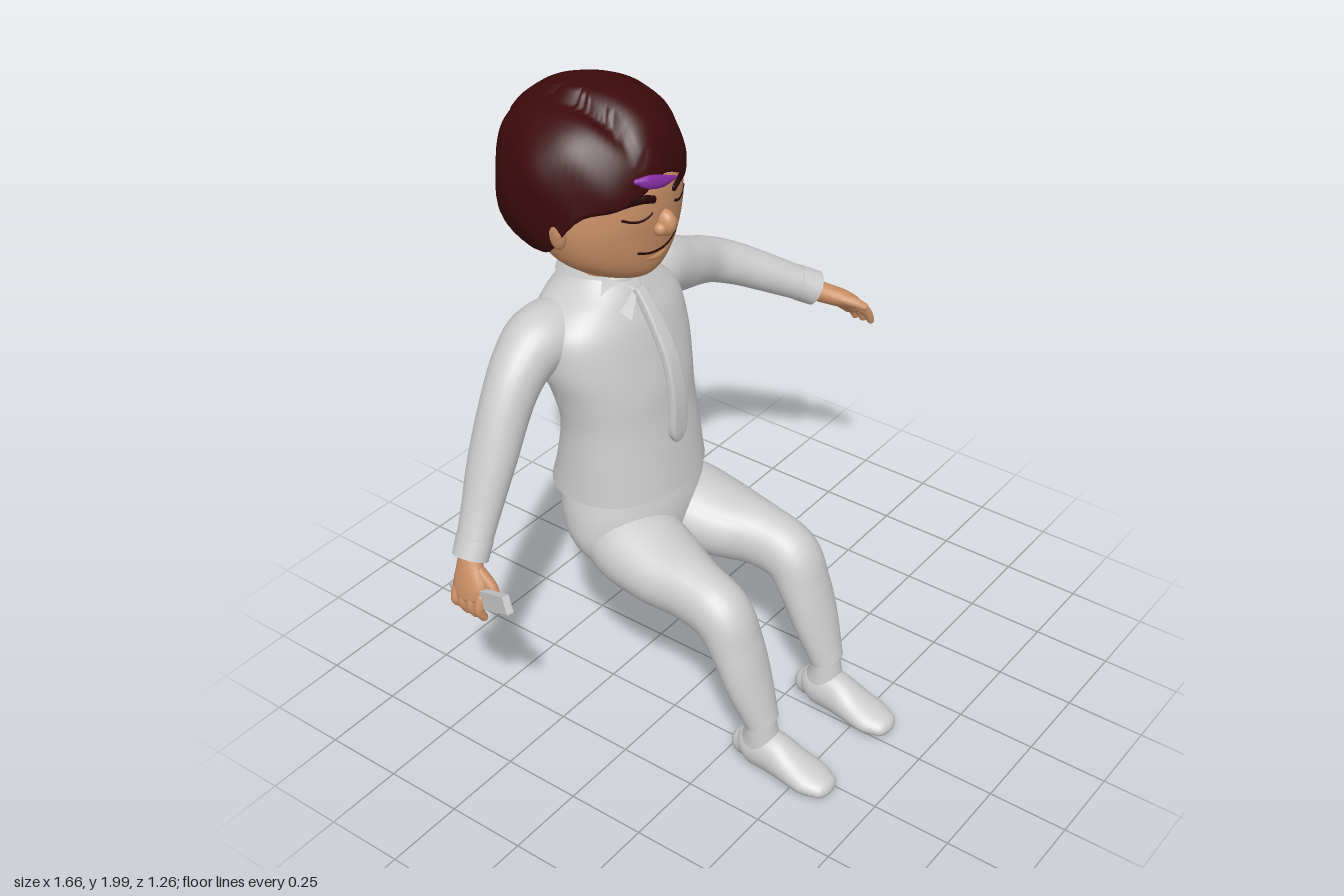
import * as THREE from 'three';

const CX = -0.13; // the body's own middle line
const V = (x, y, z) => new THREE.Vector3(x, y, z);
const mat = (color) => new THREE.MeshStandardMaterial({ color });
const grey = mat(0xcccccc), skin = mat(0xcb9066), hairMat = mat(0x3c0a0c);
const dark = mat(0x260606), purple = mat(0x8a2fa8);
const sheet = new THREE.MeshStandardMaterial({ color: 0xcccccc, side: THREE.DoubleSide });

// Catmull-Rom interpolation of rows of numbers, t from 0 to 1
function mix(rows, t) {
  const n = rows.length - 1, f = Math.min(t * n, n - 1e-6), i = Math.floor(f), s = f - i;
  const at = (k) => rows[Math.max(0, Math.min(n, k))];
  return rows[i].map((b, c) => {
    const a = at(i - 1)[c], d = at(i + 1)[c], e = at(i + 2)[c];
    return b + 0.5 * s * (d - a + s * (2 * a - 5 * b + 4 * d - e + s * (3 * (b - d) + e - a)));
  });
}

// Skin over closed rings, with flat end caps
function loft(rings) {
  const n = rings[0].length, pos = [], idx = [];
  rings.forEach((r) => r.forEach((p) => pos.push(p.x, p.y, p.z)));
  for (let i = 0; i < rings.length - 1; i++) for (let j = 0; j < n; j++) {
    const a = i * n + j, b = i * n + (j + 1) % n;
    idx.push(a, b, b + n, a, b + n, a + n);
  }
  [rings[0], rings[rings.length - 1]].forEach((r, end) => {
    const base = pos.length / 3, c = V(0, 0, 0);
    r.forEach((p) => { pos.push(p.x, p.y, p.z); c.addScaledVector(p, 1 / n); });
    pos.push(c.x, c.y, c.z);
    for (let j = 0; j < n; j++) {
      const a = base + j, b = base + (j + 1) % n;
      idx.push(base + n, end ? a : b, end ? b : a);
    }
  });
  const g = new THREE.BufferGeometry();
  g.setAttribute('position', new THREE.Float32BufferAttribute(pos, 3));
  g.setIndex(idx);
  g.computeVertexNormals();
  return g;
}

// Tube along rows [x, y, z, radiusU, radiusV]; U lies along ref
function sweep(rows, { ref = V(1, 0, 0), tangent, round = 0, steps = 32, sides = 28, pow = 1 } = {}) {
  const rings = [], bend = (k) => Math.sign(k) * Math.abs(k) ** pow;
  const ring = (t, scale, push) => {
    const [x, y, z, ru, rv] = mix(rows, t);
    const p = (q) => V(...mix(rows, Math.max(0, Math.min(1, q))).slice(0, 3));
    const dir = tangent ? tangent.clone() : p(t + 0.01).sub(p(t - 0.01)).normalize();
    const u = ref.clone().addScaledVector(dir, -ref.dot(dir)).normalize(), v = dir.clone().cross(u);
    const c = V(x, y, z).addScaledVector(dir, push * Math.min(ru, rv));
    rings.push(Array.from({ length: sides }, (_, j) => {
      const a = (j / sides) * Math.PI * 2;
      return c.clone().addScaledVector(u, bend(Math.cos(a)) * ru * scale)
        .addScaledVector(v, bend(Math.sin(a)) * rv * scale);
    }));
  };
  const ends = [1.5, 1.2, 0.9, 0.6, 0.3];
  if (round) ends.forEach((a) => ring(0, Math.cos(a), -Math.sin(a)));
  for (let i = 0; i <= steps; i++) ring(i / steps, 1, 0);
  if (round) ends.reverse().forEach((a) => ring(1, Math.cos(a), Math.sin(a)));
  return loft(rings);
}

// Upright body from rows [y, halfWidth, zFront, zBack]
const stack = (rows, opt) => sweep(
  rows.map(([y, w, f, b]) => [CX, y, (f + b) / 2, w, (f - b) / 2]),
  { tangent: V(0, 1, 0), steps: 40, sides: 48, ...opt });

export function createModel() {
  const root = new THREE.Group();
  const add = (name, geo, m = grey, parent = root) => {
    const mesh = new THREE.Mesh(geo, m);
    mesh.name = name;
    parent.add(mesh);
    return mesh;
  };
  const group = (name) => { const g = new THREE.Group(); g.name = name; root.add(g); return g; };
  const ray = new THREE.Raycaster();
  const frontZ = (mesh, x, y) => {
    ray.set(V(x, y, 2), V(0, 0, -1));
    const hit = ray.intersectObject(mesh)[0];
    return hit ? hit.point.z : -0.2;
  };

  // Shirt and hips
  add('shirt', stack([
    [0.77, 0.255, -0.05, -0.46], [0.88, 0.245, -0.068, -0.43], [1.0, 0.237, -0.088, -0.415],
    [1.1, 0.248, -0.1, -0.44], [1.2, 0.27, -0.125, -0.475], [1.3, 0.265, -0.155, -0.488],
    [1.36, 0.215, -0.185, -0.483], [1.405, 0.14, -0.21, -0.465], [1.44, 0.1, -0.24, -0.44]], { pow: 0.92 }));
  add('hips', stack([
    [0.475, 0.1, -0.12, -0.2], [0.5, 0.17, -0.09, -0.26], [0.55, 0.235, -0.07, -0.335], [0.62, 0.265, -0.055, -0.4],
    [0.7, 0.262, -0.055, -0.427], [0.79, 0.24, -0.075, -0.422]]));

  // Legs and shoes, mirrored about the middle line
  for (const [side, s] of [['left', 1], ['right', -1]]) {
    const at = (rows) => rows.map(([d, ...r]) => [CX + s * d, ...r]);
    add(side + 'Leg', sweep(at([
      [0.11, 0.635, -0.27, 0.11, 0.11], [0.128, 0.6, -0.14, 0.148, 0.125], [0.152, 0.575, 0, 0.135, 0.11],
      [0.17, 0.56, 0.12, 0.1, 0.1], [0.178, 0.525, 0.225, 0.092, 0.092], [0.178, 0.43, 0.282, 0.091, 0.072],
      [0.178, 0.32, 0.325, 0.085, 0.06], [0.175, 0.185, 0.375, 0.058, 0.047]]), { steps: 48 }));
    add(side + 'Ankle', sweep(at([[0.174, 0.22, 0.365, 0.05, 0.04], [0.173, 0.15, 0.37, 0.053, 0.05], [0.17, 0.07, 0.365, 0.058, 0.075]])));
    add(side + 'Shoe', sweep(at([
      [0.17, 0.07, 0.315, 0.045, 0.045], [0.17, 0.08, 0.35, 0.06, 0.068], [0.169, 0.075, 0.42, 0.061, 0.068],
      [0.168, 0.057, 0.49, 0.066, 0.05], [0.167, 0.043, 0.55, 0.068, 0.04], [0.167, 0.036, 0.595, 0.052, 0.03]]), { round: 1 }));
  }

  // Sleeves with cuffs
  const sleeve = { ref: V(0, 0, 1), steps: 44 };
  add('leftSleeve', sweep([
    [0, 1.27, -0.37, 0.11, 0.1], [0.15, 1.285, -0.368, 0.1, 0.1], [0.28, 1.245, -0.362, 0.078, 0.085],
    [0.41, 1.2, -0.362, 0.072, 0.074], [0.5, 1.16, -0.32, 0.07, 0.068], [0.6, 1.1, -0.235, 0.062, 0.06],
    [0.695, 1.04, -0.15, 0.056, 0.052]], sleeve));
  add('rightSleeve', sweep([
    [-0.22, 1.27, -0.37, 0.11, 0.1], [-0.36, 1.285, -0.373, 0.105, 0.1], [-0.44, 1.25, -0.375, 0.09, 0.09],
    [-0.52, 1.165, -0.37, 0.077, 0.08], [-0.61, 1.0, -0.365, 0.072, 0.068], [-0.68, 0.86, -0.358, 0.06, 0.055],
    [-0.74, 0.75, -0.35, 0.052, 0.046]], sleeve));
  add('leftCuff', sweep([[0.655, 1.066, -0.186, 0.061, 0.057], [0.702, 1.036, -0.143, 0.061, 0.057]], { ...sleeve, steps: 2 }));
  add('rightCuff', sweep([[-0.715, 0.797, -0.353, 0.057, 0.052], [-0.744, 0.742, -0.35, 0.056, 0.05]], { ...sleeve, steps: 2 }));

  // Hands: palm, four fingers and a thumb each
  const digit = { round: 1, steps: 10, sides: 12, ref: V(0, 0, 1) };
  const leftHand = group('leftHand');
  add('palm', sweep([[0.685, 1.04, -0.155, 0.035, 0.035], [0.725, 1.015, -0.115, 0.045, 0.033],
    [0.765, 0.99, -0.075, 0.062, 0.03], [0.79, 0.96, -0.055, 0.058, 0.024]], { ...digit, steps: 16, sides: 20 }), skin, leftHand);
  const rightHand = group('rightHand');
  add('palm', sweep([[-0.74, 0.76, -0.35, 0.035, 0.032], [-0.757, 0.72, -0.342, 0.045, 0.03],
    [-0.775, 0.67, -0.33, 0.06, 0.027], [-0.785, 0.64, -0.325, 0.055, 0.022]], { ...digit, steps: 16, sides: 20 }), skin, rightHand);
  for (let i = 0; i < 4; i++) {
    const z = -0.1 + i * 0.03, short = i === 0 ? 0.012 : 0;
    add('finger', sweep([[0.782, 0.97, z, 0.016, 0.016], [0.806, 0.94, z + 0.008, 0.016, 0.016],
      [0.817, 0.912 + short, z + 0.014, 0.012, 0.012]], digit), skin, leftHand);
    const w = -0.37 + i * 0.03;
    add('finger', sweep([[-0.785, 0.65, w, 0.015, 0.015], [-0.797, 0.615, w, 0.015, 0.015],
      [-0.785, 0.585 + short, w + 0.005, 0.013, 0.013]], digit), skin, rightHand);
  }
  add('thumb', sweep([[0.725, 1.015, -0.085, 0.02, 0.022], [0.745, 1.005, -0.025, 0.018, 0.019], [0.762, 0.99, 0.012, 0.013, 0.014]],
    { ...digit, ref: V(0, 1, 0) }), skin, leftHand);
  add('thumb', sweep([[-0.755, 0.715, -0.31, 0.02, 0.02], [-0.75, 0.675, -0.27, 0.018, 0.018], [-0.755, 0.645, -0.25, 0.013, 0.013]],
    { ...digit, ref: V(1, 0, 0) }), skin, rightHand);

  // Thin bar held in the right hand
  const bar = add('heldBar', new THREE.BoxGeometry(0.022, 0.055, 0.345));
  bar.position.set(-0.775, 0.64, -0.292);
  bar.lookAt(-0.82, 0.715, -0.14);

  // Tie, neck and collar
  add('tie', sweep([[CX, 1.4, -0.205, 0.022, 0.016], [CX, 1.36, -0.175, 0.022, 0.016], [CX, 1.3, -0.135, 0.026, 0.014],
    [CX, 1.2, -0.088, 0.029, 0.014], [CX, 1.08, -0.066, 0.032, 0.014], [CX, 0.97, -0.066, 0.033, 0.014],
    [CX, 0.93, -0.07, 0.014, 0.012]], { pow: 0.4, sides: 24 }));
  add('neck', stack([[1.38, 0.085, -0.25, -0.42], [1.44, 0.083, -0.245, -0.415], [1.53, 0.09, -0.22, -0.42]]), skin);
  const collar = group('collar');
  const band = add('collarBand', new THREE.CylinderGeometry(0.096, 0.125, 0.06, 40, 1, true), sheet, collar);
  band.scale.z = 1.1;
  band.rotation.x = 0.22;
  band.position.set(CX, 1.425, -0.335);
  for (const s of [1, -1]) {
    const flap = [[0.005, 1.4, -0.2], [0.085, 1.455, -0.265], [0.112, 1.4, -0.25], [0.078, 1.34, -0.165]];
    const g = new THREE.BufferGeometry().setFromPoints(flap.map(([x, y, z]) => V(CX + s * x, y, z)));
    g.setIndex(s > 0 ? [0, 2, 1, 0, 3, 2] : [0, 1, 2, 0, 2, 3]);
    g.computeVertexNormals();
    add('collarFlap', g, sheet, collar);
  }

  // Head and face
  const head = add('head', stack([
    [1.447, 0.04, -0.22, -0.34], [1.46, 0.085, -0.165, -0.4], [1.49, 0.145, -0.137, -0.44], [1.54, 0.2, -0.122, -0.475],
    [1.61, 0.23, -0.11, -0.505], [1.69, 0.236, -0.1, -0.525], [1.78, 0.228, -0.105, -0.53],
    [1.86, 0.19, -0.15, -0.5], [1.91, 0.1, -0.23, -0.42]]), skin);
  const face = group('face');
  const stroke = (name, pts, r, m, lift = 0) => add(name, sweep(
    pts.map(([x, y, k = 1]) => [x, y, frontZ(head, x, y) + lift, r * k, r * 0.7 * k]),
    { ref: V(0, 1, 0), round: 1, steps: 16, sides: 10 }), m, face);
  for (const s of [1, -1]) {
    const at = (d) => CX + s * d;
    stroke('closedEye', [[at(0.05), 1.69], [at(0.075), 1.678], [at(0.105), 1.678], [at(0.138), 1.692]], 0.004, dark);
    stroke('eyebrow', [[at(0.045), 1.73, 0.9], [at(0.075), 1.74], [at(0.115), 1.742], [at(0.15), 1.728, 0.5]], 0.013, dark);
    const ear = add('ear', new THREE.SphereGeometry(1, 20, 16), skin, face);
    ear.scale.set(0.02, 0.055, 0.03);
    ear.position.set(at(0.236), 1.65, -0.292);
    ear.rotation.z = -s * 0.12;
    const nostril = add('nostril', new THREE.SphereGeometry(0.02, 14, 10), skin, face);
    nostril.position.set(at(0.024), 1.633, -0.098);
  }
  const nose = add('nose', new THREE.SphereGeometry(1, 20, 16), skin, face);
  nose.scale.set(0.027, 0.04, 0.036);
  nose.position.set(CX, 1.643, -0.1);
  stroke('mouth', [[CX - 0.085, 1.572], [CX - 0.045, 1.558], [CX, 1.554], [CX + 0.045, 1.558], [CX + 0.085, 1.572]], 0.004, dark);
  stroke('lowerLip', [[CX - 0.05, 1.54, 0.5], [CX, 1.534], [CX + 0.05, 1.54, 0.5]], 0.013, skin, -0.004);

  // Hair: lumpy cap whose lower edge follows a hairline around the head
  const hairline = [[1.79], [1.765], [1.725], [1.69], [1.58], [1.535], [1.515], [1.505], [1.5], [1.5]];
  const rows = 30, cols = 72, rings = [];
  for (let i = -1; i <= rows; i++) {
    rings.push(Array.from({ length: cols }, (_, j) => {
      const th = (j / cols) * Math.PI * 2, dx = Math.cos(th), dz = -Math.sin(th);
      const low = mix(hairline, Math.abs(Math.atan2(dx, dz)) / Math.PI)[0] + 0.008 * Math.sin(th * 7);
      const pMax = Math.acos((low - 1.73) / 0.268);
      const p = pMax * (1 - Math.max(i, 0) / rows) + 0.002, c = Math.cos(p);
      const lump = 1 + 0.014 * Math.sin(5 * th + 4 * p) + 0.01 * Math.sin(9 * th - 7 * p) * Math.sin(p);
      const r = 0.266 * (1 - Math.abs(c) ** 2.4) ** (1 / 2.4) * lump * (i < 0 ? 0.75 : 1);
      const x = -0.137 + dx * r, z = -0.36 + dz * r * 1.01;
      const part = c > 0 ? c * 0.025 * Math.exp(-(((x + 0.21) / 0.035) ** 2)) * THREE.MathUtils.smoothstep(z, -0.4, -0.25) : 0;
      return V(x, 1.73 + c * 0.268 - part - (x < -0.2 ? c * 0.02 : 0), z);
    }));
  }
  add('hair', loft(rings), hairMat);
  add('dyedLock', sweep([[-0.235, 1.805, -0.113, 0.008, 0.008], [-0.2, 1.795, -0.098, 0.02, 0.012],
    [-0.15, 1.78, -0.092, 0.018, 0.012], [-0.09, 1.768, -0.094, 0.005, 0.006]], { ref: V(0, 1, 0), round: 1, sides: 14 }), purple);
  return root;
}
